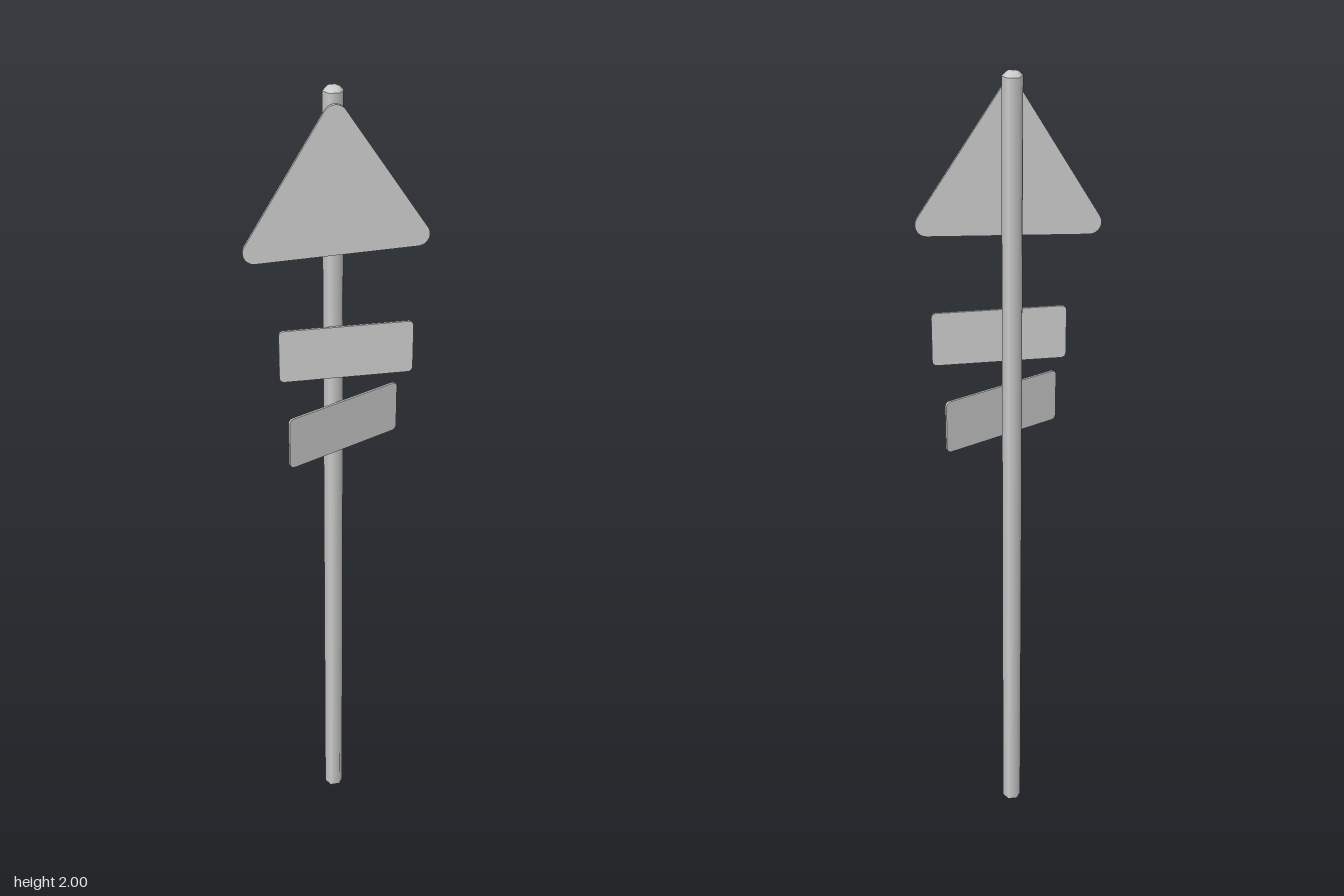
import * as THREE from 'three';

const material = new THREE.MeshStandardMaterial({ color: 0xcccccc });

function addMesh(group, name, geometry) {
  const mesh = new THREE.Mesh(geometry, material);
  mesh.name = name;
  group.add(mesh);
  return mesh;
}

// Flat plate with rounded corners; centres are the corner arc centres, counter-clockwise
function roundedPlate(centres, radius, thickness) {
  const shape = new THREE.Shape();
  const n = centres.length;
  const normalAngle = (a, b) => Math.atan2(a[0] - b[0], b[1] - a[1]) + Math.PI;
  centres.forEach((c, i) => {
    const before = -Math.PI / 2 + Math.atan2(c[1] - centres[(i + n - 1) % n][1], c[0] - centres[(i + n - 1) % n][0]);
    const next = centres[(i + 1) % n];
    const after = -Math.PI / 2 + Math.atan2(next[1] - c[1], next[0] - c[0]);
    shape.absarc(c[0], c[1], radius, before, after, false);
  });
  const geometry = new THREE.ExtrudeGeometry(shape, { depth: thickness, bevelEnabled: false, curveSegments: 6 });
  return geometry.translate(0, 0, -thickness / 2);
}

function rectanglePlate(width, height, radius, thickness) {
  const x = width / 2 - radius, y = height / 2 - radius;
  return roundedPlate([[-x, -y], [x, -y], [x, y], [-x, y]], radius, thickness);
}

export function createModel() {
  const model = new THREE.Group();
  model.name = 'roadSign';

  // Six-sided pole with a shallow domed cap
  const pole = new THREE.Group();
  pole.name = 'pole';
  pole.position.set(-0.004, 0, -0.027);
  const r = 0.024, shaftTop = 1.988;
  const shaft = new THREE.CylinderGeometry(r, r, shaftTop, 6, 1, false, Math.PI / 6);
  addMesh(pole, 'poleShaft', shaft.translate(0, shaftTop / 2, 0));
  const dome = [[r, shaftTop], [0.014, 1.998], [0, 2]].map(([x, y]) => new THREE.Vector2(x, y));
  addMesh(pole, 'poleCap', new THREE.LatheGeometry(dome, 6, Math.PI / 6));
  model.add(pole);

  // Slightly tilted triangular warning plate
  addMesh(model, 'triangularSign', roundedPlate([[-0.188, 1.637], [0.187, 1.652], [-0.004, 1.938]], 0.028, 0.008));

  // Two rectangular plates, the lower one twisted round the pole
  const upper = addMesh(model, 'upperPlate', rectanglePlate(0.321, 0.133, 0.012, 0.006));
  upper.position.set(0.0225, 1.368, 0);
  const lower = addMesh(model, 'lowerPlate', rectanglePlate(0.321, 0.133, 0.012, 0.006));
  lower.position.set(0.017, 1.17, -0.001);
  lower.rotation.y = Math.atan2(0.142, 0.29);

  return model;
}
